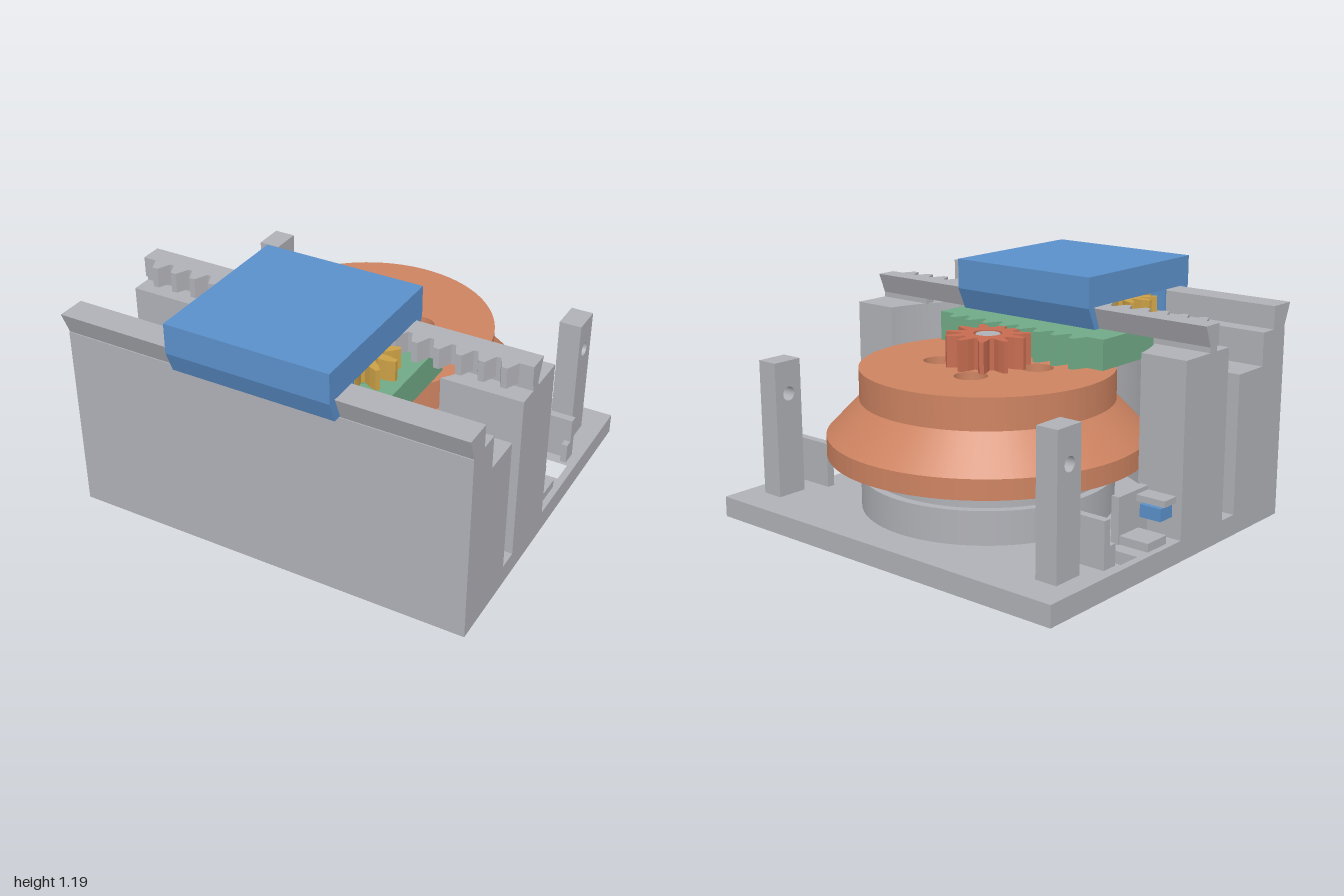
import * as THREE from 'three';

const paint = (name, color) => {
  const m = new THREE.MeshStandardMaterial({ color });
  m.name = name;
  return m;
};
const grey = paint('grey frame', 0xb0b1b6);
const blue = paint('blue slider', 0x5b90cb);
const orange = paint('orange wheel', 0xcd8361);
const red = paint('red pinion', 0xc66c50);
const green = paint('green carriage', 0x70aa86);
const gold = paint('gold gears', 0xcba046);

const CZ = -0.14;      // wheel axis
const PITCH = 0.105;   // rack tooth spacing

export function createModel() {
  const model = new THREE.Group();

  const add = (name, geo, mat, x = 0, y = 0, z = 0) => {
    const m = new THREE.Mesh(geo, mat);
    m.name = name;
    m.position.set(x, y, z);
    model.add(m);
    return m;
  };
  // box from its limits
  const box = (name, mat, x0, x1, y0, y1, z0, z1) =>
    add(name, new THREE.BoxGeometry(Math.abs(x1 - x0), y1 - y0, z1 - z0), mat,
      (x0 + x1) / 2, (y0 + y1) / 2, (z0 + z1) / 2);
  // points given as x, z
  const planShape = (pts) => new THREE.Shape(pts.map(([x, z]) => new THREE.Vector2(x, -z)));
  const circle = (r, x = 0, z = 0) => new THREE.Shape().absarc(x, -z, r, 0, Math.PI * 2, false);
  const rect = (x0, x1, z0, z1) => planShape([[x0, z0], [x1, z0], [x1, z1], [x0, z1]]);
  // plan outline raised from y0 to y1
  const slab = (name, mat, shape, y0, y1, x = 0, z = 0) => {
    const g = new THREE.ExtrudeGeometry(shape, { depth: y1 - y0, bevelEnabled: false, curveSegments: 48 });
    return add(name, g.rotateX(-Math.PI / 2), mat, x, y0, z);
  };
  // z, y section run along x
  const beam = (name, mat, pts, x0, x1) => {
    const s = new THREE.Shape(pts.map(([z, y]) => new THREE.Vector2(z, y)));
    const g = new THREE.ExtrudeGeometry(s, { depth: x1 - x0, bevelEnabled: false });
    return add(name, g.rotateY(-Math.PI / 2), mat, x1);
  };
  // rack outline: straight back, teeth from root to tip
  const rack = (half, back, root, tip, phase = 0) => {
    const pts = [[-half, back], [-half, root]];
    const n = Math.floor(half / PITCH) + 1;
    for (let i = -n; i <= n; i++) {
      const c = (i + phase) * PITCH;
      if (Math.abs(c) + 0.043 > half) continue;
      pts.push([c - 0.042, root], [c - 0.014, tip], [c + 0.014, tip], [c + 0.042, root]);
    }
    pts.push([half, root], [half, back]);
    return planShape(pts);
  };
  const gear = (teeth, root, tip, bore) => {
    const pts = [];
    for (let i = 0; i < teeth; i++) {
      for (const [f, r] of [[-0.36, root], [-0.23, (root + tip) / 2], [-0.09, tip],
        [0.09, tip], [0.23, (root + tip) / 2], [0.36, root]]) {
        const a = ((i + f) / teeth) * Math.PI * 2;
        pts.push([Math.sin(a) * r, -Math.cos(a) * r]);
      }
    }
    const s = planShape(pts);
    if (bore) s.holes.push(circle(bore));
    return s;
  };

  // base plate with its openings
  const base = rect(-1, 1, -0.917, 0.83);
  base.holes.push(circle(0.055, 0, CZ), rect(-0.22, 0.22, -0.57, -0.4));
  for (const sx of [-1, 1]) {
    for (const sz of [-1, 1]) base.holes.push(circle(0.05, sx * 0.165, CZ + sz * 0.165));
    base.holes.push(rect(sx * 0.84, sx * 0.965, -0.4, -0.28), rect(sx * 0.745, sx * 0.772, -0.08, 0.06));
  }
  slab('basePlate', grey, base, 0, 0.1);

  // front wall and the shelf hollowed around the wheel
  box('frontWall', grey, -1, 1, 0.1, 0.93, 0.64, 0.83);
  const R = 0.778;
  const arcX = (z) => Math.sqrt(R * R - (z - CZ) ** 2);
  const hollow = (z0, z1, n) => Array.from({ length: n + 1 }, (_, i) => {
    const z = z0 + (z1 - z0) * i / n;
    return [arcX(z), z];
  });
  const right = hollow(0.44, 0.635, 16);
  const left = right.map(([x, z]) => [-x, z]).reverse();
  slab('shelf', grey, planShape([[-1, 0.64], [-1, 0.44], ...left.reverse(), ...right.reverse(), [1, 0.44], [1, 0.64]]), 0.1, 0.77);

  for (const s of [-1, 1]) {
    // rail pillar
    slab('railPillar', grey, planShape([...hollow(0, 0.34, 12), [1, 0.34], [1, 0]].map(([x, z]) => [s * x, z])), 0.1, 0.915);
    box('railNeck', grey, s * 0.7, s, 0.91, 0.945, 0.187, 0.24);
    // rear post with a cross hole
    const side = new THREE.Shape([[-0.755, 0.1], [-0.6, 0.1], [-0.6, 0.76], [-0.755, 0.76]]
      .map(([z, y]) => new THREE.Vector2(z, y)));
    side.holes.push(new THREE.Path().absarc(-0.675, 0.6, 0.034, 0, Math.PI * 2, true));
    const g = new THREE.ExtrudeGeometry(side, { depth: 0.11, bevelEnabled: false, curveSegments: 20 });
    add('rearPost', g.rotateY(-Math.PI / 2), grey, s > 0 ? 0.9 : -0.79);
    // small bracket and latch beside the wheel
    box('bracketBack', grey, s * 0.73, s * 0.95, 0.1, 0.32, -0.5, -0.46);
    box('bracketSide', grey, s * 0.92, s * 0.95, 0.1, 0.2, -0.46, -0.42);
    box('bracketWall', grey, s * 0.78, s * 0.82, 0.1, 0.32, -0.22, 0.01);
    box('bracketStep', grey, s * 0.82, s * 0.97, 0.1, 0.14, -0.21, -0.07);
    box('latchCover', grey, s * 0.8, s * 0.97, 0.27, 0.3, -0.09, 0.01);
    box('latch', blue, s * 0.84, s * 0.95, 0.2, 0.26, -0.09, 0.01);
  }

  // hub below the wheel and the axle
  add('hubBase', new THREE.CylinderGeometry(0.6, 0.6, 0.16, 64), grey, 0, 0.18, CZ);
  add('hubRing', new THREE.CylinderGeometry(0.56, 0.56, 0.1, 64), grey, 0, 0.31, CZ);
  add('axle', new THREE.CylinderGeometry(0.058, 0.058, 0.55, 32), grey, 0, 0.64, CZ);

  // wheel: rim, cone and drum with four countersunk holes
  const bolts = (shape, r) => {
    for (const [x, z] of [[-0.09, -0.22], [0.22, -0.09], [0.09, 0.22], [-0.22, 0.09]]) shape.holes.push(circle(r, x, z));
    return shape;
  };
  const rim = bolts(circle(0.756), 0.045);
  for (let i = 0; i < 8; i++) {
    const a = (i + 0.5) * Math.PI / 4;
    rim.holes.push(circle(0.05, Math.cos(a) * 0.65, Math.sin(a) * 0.65));
  }
  slab('wheelRim', orange, rim, 0.362, 0.457, 0, CZ);
  add('wheelCone', new THREE.CylinderGeometry(0.6, 0.756, 0.163, 96, 1, true), orange, 0, 0.5385, CZ);
  slab('wheelDrum', orange, bolts(circle(0.6), 0.045), 0.457, 0.73, 0, CZ);
  slab('wheelTop', orange, bolts(circle(0.6), 0.078), 0.73, 0.77, 0, CZ);
  slab('pinion', red, gear(11, 0.125, 0.2, 0.066), 0.77, 0.918, 0, CZ);

  // driven carriage with its rear rack and two idler gears
  slab('carriage', green, rack(0.5, 0.637, 0.08, 0.01, 0.5), 0.775, 0.92);
  for (const s of [-1, 1]) {
    add('gearSpacer', new THREE.CylinderGeometry(0.08, 0.08, 0.02, 32), green, s * 0.3, 0.93, 0.485);
    const g = slab('idlerGear', gold, gear(10, 0.1, 0.175, 0), 0.94, 1.038, s * 0.3, 0.485);
    g.rotation.y = Math.PI / 2;
  }

  // dovetail rails
  beam('frontRail', grey, [[0.73, 0.93], [0.825, 0.93], [0.87, 1.04], [0.73, 1.04]], -1, 1);
  beam('rearRail', grey, [[0.187, 0.94], [0.25, 0.94], [0.25, 1.04], [0.148, 1.04]], -1, 1);
  slab('rearRailTeeth', grey, rack(1, 0.245, 0.252, 0.316, 0.5), 0.94, 1.04);

  // slider clasping both rails, with an inner rack
  beam('slider', blue, [[0.917, 1.19], [0.1, 1.19], [0.1, 1.045], [0.148, 0.94], [0.182, 0.94],
    [0.142, 1.046], [0.876, 1.046], [0.832, 0.94], [0.875, 0.94], [0.917, 1.045]], -0.4, 0.4);
  slab('sliderRack', blue, rack(0.4, 0.727, 0.715, 0.652), 0.94, 1.046);

  return model;
}
